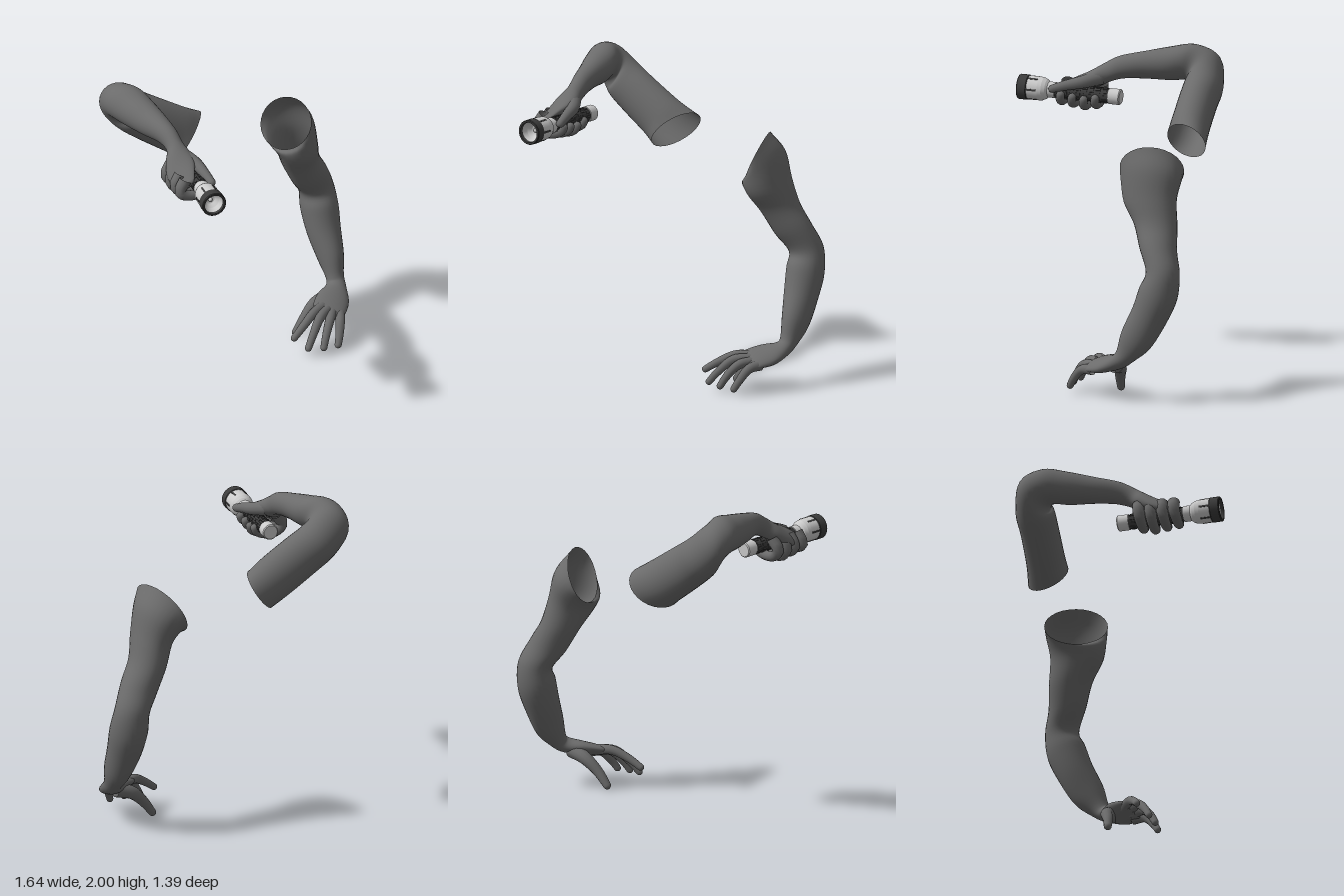
import * as THREE from 'three';

const V = (p) => new THREE.Vector3(...p);
const mat = (color) => new THREE.MeshStandardMaterial({ color, side: THREE.DoubleSide });
const skin = mat(0x6b6b6b), dark = mat(0x3c3c3c), light = mat(0xcccccc);

function add(parent, name, geometry, material) {
  const m = new THREE.Mesh(geometry, material);
  m.name = name;
  parent.add(m);
  return m;
}

// Skin over elliptical rings {c, a, b}; the last ring is capped, the first left open
function loft(rings, sides) {
  const pos = [], idx = [];
  for (const { c, a, b } of rings) {
    for (let j = 0; j < sides; j++) {
      const t = (j / sides) * Math.PI * 2;
      const p = c.clone().addScaledVector(a, Math.cos(t)).addScaledVector(b, Math.sin(t));
      pos.push(p.x, p.y, p.z);
    }
  }
  for (let i = 0; i < rings.length - 1; i++) {
    for (let j = 0; j < sides; j++) {
      const k = (j + 1) % sides, p = i * sides, q = p + sides;
      idx.push(p + j, p + k, q + j, p + k, q + k, q + j);
    }
  }
  const last = (rings.length - 1) * sides, tip = rings.length * sides;
  const end = rings[rings.length - 1].c;
  pos.push(end.x, end.y, end.z);
  for (let j = 0; j < sides; j++) idx.push(last + j, last + ((j + 1) % sides), tip);
  const g = new THREE.BufferGeometry();
  g.setAttribute('position', new THREE.Float32BufferAttribute(pos, 3));
  g.setIndex(idx);
  g.computeVertexNormals();
  return g;
}

// Arm and palm: smooth interpolation through [centre, half axis, half axis] stations
function limb(stations) {
  const [c, a, b] = [0, 1, 2].map((k) =>
    new THREE.CatmullRomCurve3(stations.map((s) => V(s[k])), false, 'catmullrom', 0.5));
  const n = (stations.length - 1) * 5, rings = [];
  for (let i = 0; i <= n; i++) {
    rings.push({ c: c.getPoint(i / n), a: a.getPoint(i / n), b: b.getPoint(i / n) });
  }
  return loft(rings, 28);
}

// Finger: tapered tube with a rounded tip
function finger(points, r0, r1) {
  const curve = new THREE.CatmullRomCurve3(points.map(V));
  const n = 24, rings = [], cap = r1 / curve.getLength();
  const frames = curve.computeFrenetFrames(200);
  for (let i = 0; i <= n; i++) {
    const t = Math.sin((i / n) * Math.PI / 2);
    const e = Math.max(0, (t - 1 + cap) / cap);
    const r = Math.max(0.001, (r0 + (r1 - r0) * t) * Math.sqrt(1 - e * e));
    const f = Math.round(t * 200);
    rings.push({
      c: curve.getPointAt(t),
      a: frames.normals[f].clone().multiplyScalar(r),
      b: frames.binormals[f].clone().multiplyScalar(r),
    });
  }
  return loft(rings, 12);
}

function leftArm() {
  const g = new THREE.Group();
  g.name = 'leftArm';
  add(g, 'leftArmAndPalm', limb([
    // shoulder opening and upper arm
    [[0.42, 1.43, -0.44], [0.09, 0.155, 0.03], [0.06, -0.02, 0.185]],
    [[0.46, 1.36, -0.445], [0.125, 0.1, 0], [0.02, -0.02, 0.188]],
    [[0.5, 1.24, -0.452], [0.125, 0.04, 0], [0, -0.02, 0.168]],
    [[0.547, 1.1, -0.5], [0.115, 0.03, 0], [0, 0, 0.138]],
    [[0.62, 0.96, -0.538], [0.112, 0.04, 0], [0, 0, 0.118]],
    // elbow and forearm
    [[0.685, 0.83, -0.585], [0.11, 0.02, 0], [0, 0, 0.106]],
    [[0.697, 0.7, -0.56], [0.12, 0, 0], [0, 0.04, 0.118]],
    [[0.703, 0.55, -0.5], [0.107, 0, 0], [0, 0.058, 0.102]],
    [[0.715, 0.4, -0.42], [0.082, 0, 0], [0, 0.055, 0.09]],
    // wrist and palm
    [[0.715, 0.295, -0.352], [0.057, 0, 0], [0, 0.035, 0.055]],
    [[0.7, 0.25, -0.3], [0.06, -0.01, 0.02], [0.005, 0.042, 0.03]],
    [[0.65, 0.222, -0.22], [0.085, -0.03, 0.045], [0.01, 0.042, 0.015]],
    [[0.59, 0.203, -0.14], [0.088, -0.03, 0.05], [0.008, 0.033, 0.012]],
    [[0.555, 0.19, -0.09], [0.075, -0.028, 0.04], [0.005, 0.02, 0.01]],
  ]), skin);
  const fingers = {
    leftIndexFinger: [[0.55, 0.215, -0.16], [0.47, 0.215, -0.11], [0.38, 0.17, -0.06], [0.285, 0.105, -0.02]],
    leftMiddleFinger: [[0.57, 0.205, -0.13], [0.49, 0.2, -0.06], [0.42, 0.13, 0], [0.36, 0.045, 0.045]],
    leftRingFinger: [[0.6, 0.19, -0.12], [0.55, 0.185, -0.04], [0.5, 0.12, 0.02], [0.46, 0.035, 0.065]],
    leftLittleFinger: [[0.65, 0.175, -0.12], [0.62, 0.165, -0.04], [0.59, 0.1, 0.02], [0.56, 0.03, 0.06]],
  };
  for (const [name, pts] of Object.entries(fingers)) add(g, name, finger(pts, 0.034, 0.021), skin);
  add(g, 'leftThumb', finger(
    [[0.66, 0.215, -0.27], [0.55, 0.18, -0.27], [0.46, 0.1, -0.245], [0.385, 0.003, -0.23]], 0.05, 0.023), skin);
  return g;
}

function rightArm() {
  const g = new THREE.Group();
  g.name = 'rightArm';
  add(g, 'rightArmAndPalm', limb([
    // shoulder opening and upper arm
    [[-0.225, 1.48, -0.48], [0.085, 0.12, 0], [0.07, 0, -0.142]],
    [[-0.33, 1.55, -0.475], [0.09, 0.12, 0], [0.02, 0, -0.125]],
    [[-0.5, 1.665, -0.475], [0.09, 0.115, 0], [0, 0, -0.12]],
    [[-0.62, 1.75, -0.48], [0.085, 0.11, 0], [-0.02, 0.01, -0.12]],
    // elbow and forearm
    [[-0.695, 1.83, -0.465], [0.07, 0.11, 0], [-0.085, 0.05, -0.085]],
    [[-0.698, 1.88, -0.38], [0.035, 0.115, 0], [-0.12, 0.02, -0.035]],
    [[-0.665, 1.87, -0.25], [0.02, 0.106, 0.01], [-0.113, 0.01, -0.02]],
    [[-0.628, 1.86, -0.1], [0.01, 0.088, 0.01], [-0.09, 0, -0.02]],
    [[-0.59, 1.845, 0.04], [0, 0.07, 0.02], [-0.065, 0, -0.01]],
    // wrist and palm
    [[-0.575, 1.81, 0.13], [0, 0.055, 0.025], [-0.056, 0, 0]],
    [[-0.583, 1.772, 0.2], [0.02, 0.055, 0.02], [-0.078, 0, 0]],
    [[-0.598, 1.735, 0.28], [0.03, 0.055, 0.01], [-0.085, -0.02, 0]],
    [[-0.605, 1.71, 0.36], [0.03, 0.045, 0], [-0.06, -0.02, 0]],
    [[-0.6, 1.695, 0.42], [0.015, 0.025, 0], [-0.03, -0.01, 0]],
  ]), skin);
  // four fingers curled under the grip, little finger at the rear
  ['Little', 'Ring', 'Middle', 'Index'].forEach((n, i) => {
    const z = 0.18 + i * 0.075, y = 0.012 * Math.abs(i - 1);
    add(g, `right${n}Finger`, finger([
      [-0.62, 1.73, z], [-0.66, 1.66, z + 0.01], [-0.625, 1.605 + y, z + 0.015],
      [-0.55, 1.595 + y, z + 0.015], [-0.485, 1.62 + y, z + 0.01], [-0.465, 1.67 + y, z],
    ], 0.04, 0.026), skin);
  });
  add(g, 'rightThumb', finger(
    [[-0.56, 1.78, 0.17], [-0.5, 1.755, 0.27], [-0.478, 1.73, 0.38], [-0.462, 1.7, 0.485]], 0.05, 0.024), skin);
  return g;
}

// Flashlight built along +z from its tail
function flashlight() {
  const g = new THREE.Group();
  g.name = 'flashlight';
  const turn = (name, profile, material) => {
    // each stretch gets its own vertices so the edges stay sharp
    const part = new THREE.Group();
    part.name = name;
    for (let i = 0; i < profile.length - 1; i++) {
      const pts = [profile[i], profile[i + 1]].map(([r, z]) => new THREE.Vector2(r, z));
      add(part, name + 'Surface', new THREE.LatheGeometry(pts, 32).rotateX(Math.PI / 2), material);
    }
    g.add(part);
  };
  turn('tailCap', [[0, 0], [0.044, 0], [0.05, 0.006], [0.05, 0.075], [0.044, 0.075]], light);
  turn('grip', [[0.045, 0.07], [0.045, 0.43]], dark);
  turn('neckAndHead', [[0.045, 0.43], [0.05, 0.43], [0.05, 0.475], [0.062, 0.488], [0.072, 0.51],
    [0.075, 0.535], [0.075, 0.61]], light);
  turn('bezel', [[0.075, 0.605], [0.079, 0.61], [0.079, 0.665], [0.075, 0.67], [0.064, 0.67], [0.062, 0.645]], dark);
  turn('reflector', [[0.062, 0.648], [0.05, 0.615], [0.03, 0.59], [0, 0.58]], light);
  add(g, 'bulb', new THREE.SphereGeometry(0.014, 16, 12), light).position.z = 0.595;

  // raised grip pads in staggered rows
  for (let row = 0; row < 8; row++) {
    for (let k = 0; k < 10; k++) {
      const t = ((k + (row % 2) / 2) / 10) * Math.PI * 2;
      const pad = add(g, 'gripPad', new THREE.BoxGeometry(0.008, 0.016, 0.03), dark);
      pad.position.set(Math.cos(t) * 0.045, Math.sin(t) * 0.045, 0.1 + row * 0.043);
      pad.rotation.z = t;
    }
  }
  // dark slots around the head
  for (let k = 0; k < 6; k++) {
    const t = (k / 6) * Math.PI * 2;
    const slot = add(g, 'headSlot', new THREE.BoxGeometry(0.006, 0.012, 0.07), dark);
    slot.position.set(Math.cos(t) * 0.074, Math.sin(t) * 0.074, 0.575);
    slot.rotation.z = t;
  }
  g.position.set(-0.515, 1.668, 0.027);
  g.rotation.set(-0.037, -0.045, 0);
  return g;
}

export function createModel() {
  const model = new THREE.Group();
  model.name = 'armsWithFlashlight';
  model.add(leftArm(), rightArm(), flashlight());
  return model;
}
